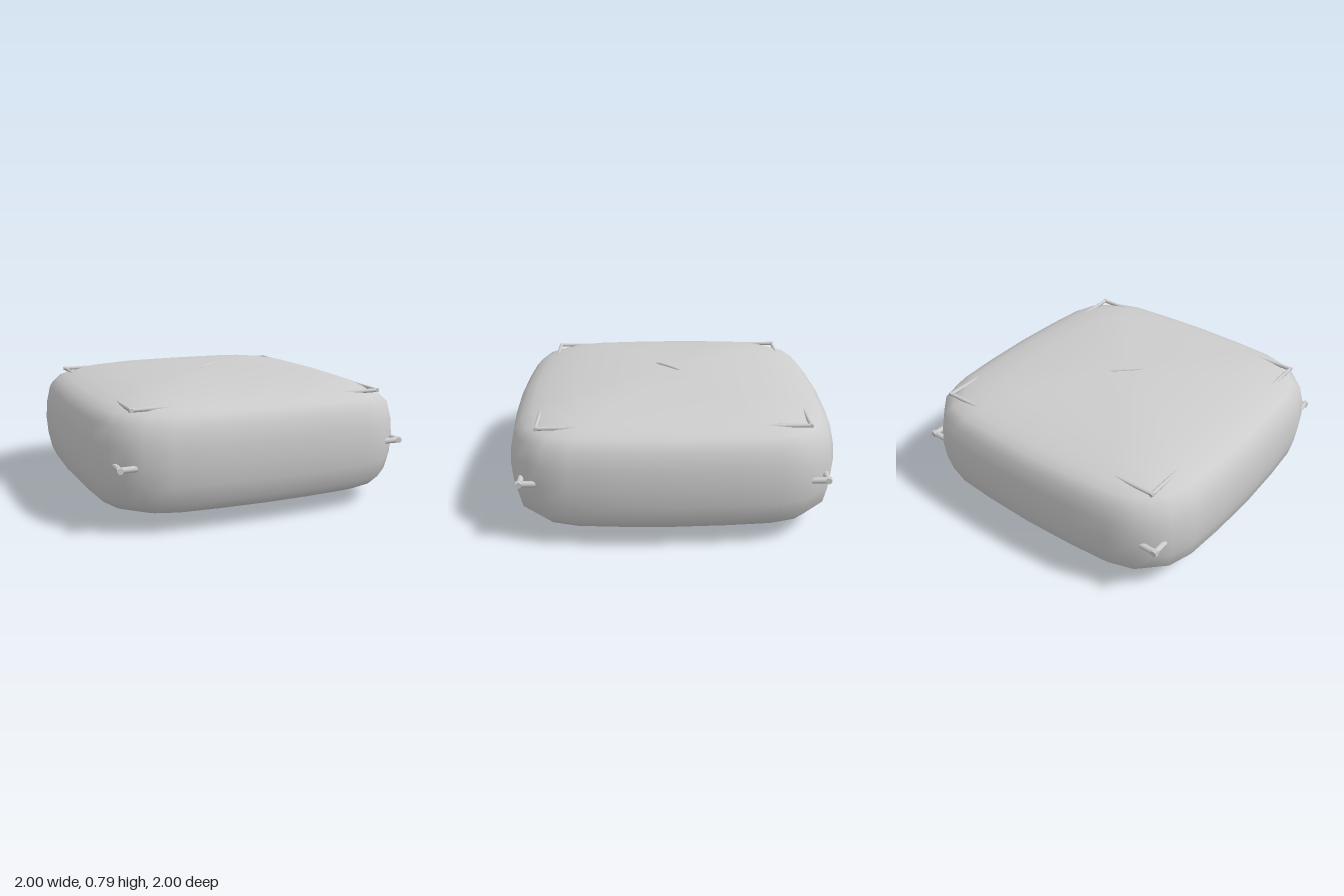
import * as THREE from 'three';

const MID = 0.39; // height of the cushion's widest line

// One quarter of the plan outline [x, z]; the rest follows by quarter turns
const QUARTER = [[1, 0], [0.99, 0.34], [0.97, 0.61], [0.92, 0.77],
  [0.845, 0.845], [0.77, 0.92], [0.61, 0.97], [0.34, 0.99]];

// Half of the side profile [outline scale, height above the middle]
const PROFILE = [[0.992, 0.11], [0.97, 0.215], [0.92, 0.272], [0.86, 0.298],
  [0.78, 0.325], [0.61, 0.36], [0.3, 0.385]];

function cushionGeometry() {
  const outline = [];
  for (let turn = 0; turn < 4; turn++) {
    for (const [x, z] of QUARTER) {
      outline.push([[x, z], [-z, x], [-x, -z], [z, -x]][turn]);
    }
  }
  const rings = [
    ...PROFILE.map(([s, h]) => [s, -h]).reverse(),
    [1, 0],
    ...PROFILE,
  ];
  const n = outline.length;
  const positions = [];
  const index = [];
  for (const [s, h] of rings) {
    for (const [x, z] of outline) positions.push(x * s, MID + h, z * s);
  }
  const bottom = rings.length * n;
  const top = bottom + 1;
  positions.push(0, 0, 0, 0, 2 * MID, 0);

  for (let i = 0; i < n; i++) {
    const j = (i + 1) % n;
    for (let k = 0; k < rings.length - 1; k++) {
      const a = k * n + i, b = k * n + j;
      index.push(a, a + n, b, b, a + n, b + n);
    }
    const last = (rings.length - 1) * n;
    index.push(bottom, i, j, top, last + j, last + i);
  }
  const geometry = new THREE.BufferGeometry();
  geometry.setAttribute('position', new THREE.Float32BufferAttribute(positions, 3));
  geometry.setIndex(index);
  geometry.computeVertexNormals();
  return geometry;
}

// Square frame of four round rods whose corners show through the cushion
function rodFrame(name, half, y, radius, material) {
  const frame = new THREE.Group();
  frame.name = name;
  const rod = new THREE.CylinderGeometry(radius, radius, 2 * (half + radius), 12);
  rod.rotateZ(Math.PI / 2);
  for (let i = 0; i < 4; i++) {
    const mesh = new THREE.Mesh(rod, material);
    const angle = i * Math.PI / 2;
    mesh.name = name + 'Rod';
    mesh.position.set(Math.sin(angle) * half, y, Math.cos(angle) * half);
    mesh.rotation.y = angle;
    frame.add(mesh);
  }
  return frame;
}

export function createModel() {
  const model = new THREE.Group();
  model.name = 'squareCushion';
  const fabric = new THREE.MeshStandardMaterial({ color: 0xcccccc });
  fabric.name = 'light grey fabric';

  const cushion = new THREE.Mesh(cushionGeometry(), fabric);
  cushion.name = 'cushion';
  model.add(cushion);

  // Piping round the middle and round the top edge
  model.add(rodFrame('middlePiping', 0.885, MID, 0.018, fabric));
  model.add(rodFrame('topPiping', 0.785, 0.69, 0.012, fabric));

  // Slim diagonal tuft in the middle of the top
  const tuft = new THREE.Mesh(new THREE.SphereGeometry(1, 16, 10), fabric);
  tuft.name = 'centreTuft';
  tuft.scale.set(0.11, 0.014, 0.012);
  tuft.position.set(-0.015, 0.778, 0.01);
  tuft.rotation.y = Math.PI / 4;
  model.add(tuft);

  return model;
}
